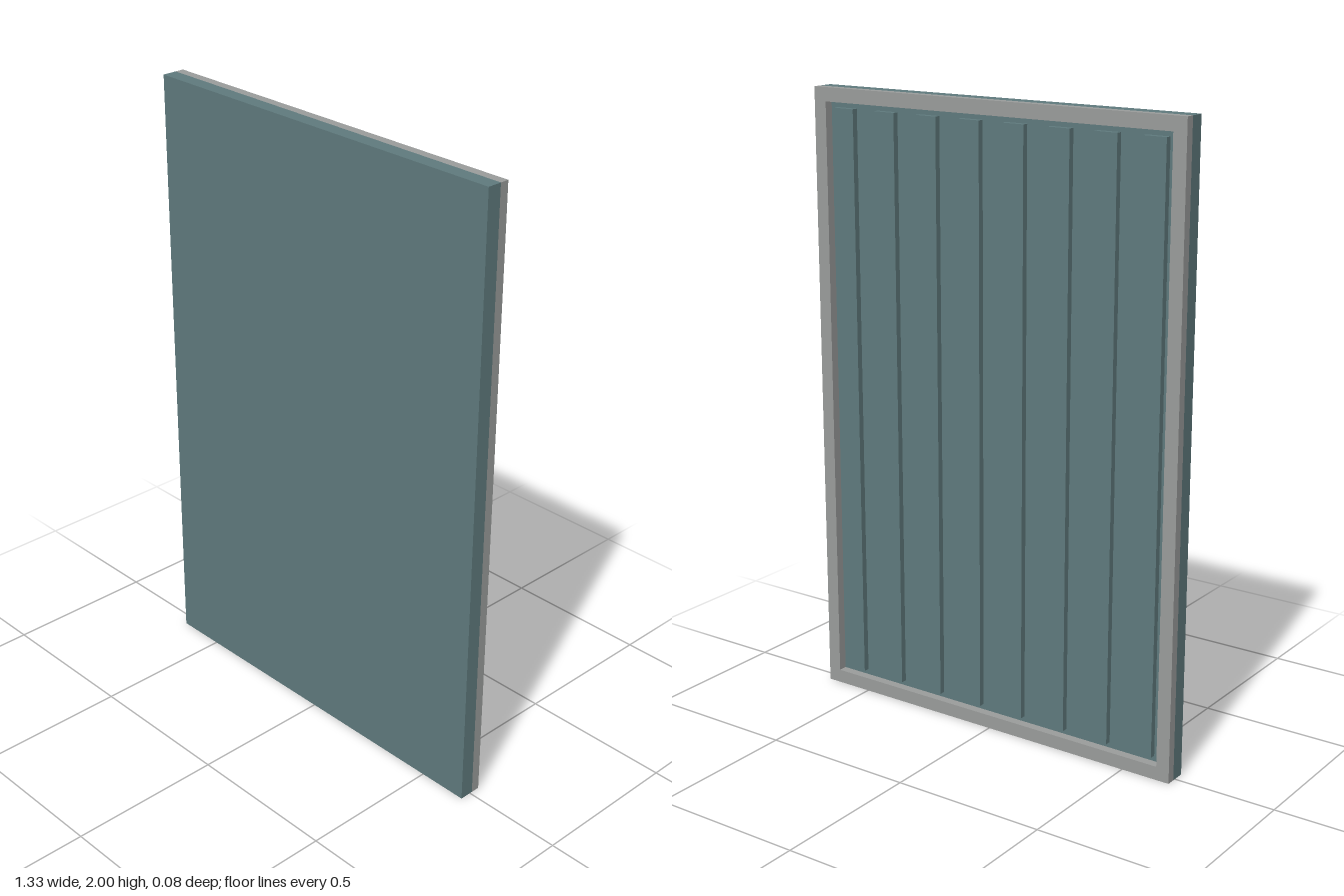
import * as THREE from 'three';

const W = 1.33, H = 2, BACK = -0.038, SEAM = -0.009, FRONT = 0.038;
const BORDER = 0.044;

export function createModel() {
  const model = new THREE.Group();
  model.name = 'ribbedPanel';
  const teal = new THREE.MeshStandardMaterial({ color: 0x5f7a7d });
  teal.name = 'teal';
  const gray = new THREE.MeshStandardMaterial({ color: 0x9a9c9b });
  gray.name = 'warm gray';

  const add = (name, geometry, material, x, y, z) => {
    const mesh = new THREE.Mesh(geometry, material);
    mesh.name = name;
    mesh.position.set(x, y, z);
    model.add(mesh);
  };

  // Flat front slab
  add('panel', new THREE.BoxGeometry(W, H, FRONT - SEAM), teal, 0, H / 2, (FRONT + SEAM) / 2);

  // Rectangular rim around the recessed back
  const outline = (w, h, Type) => new Type([
    new THREE.Vector2(-w / 2, -h / 2), new THREE.Vector2(w / 2, -h / 2),
    new THREE.Vector2(w / 2, h / 2), new THREE.Vector2(-w / 2, h / 2),
  ]);
  const rim = outline(W, H, THREE.Shape);
  rim.holes.push(outline(W - 2 * BORDER, H - 2 * BORDER, THREE.Path));
  const rimGeometry = new THREE.ExtrudeGeometry(rim, { depth: SEAM - BACK, bevelEnabled: false });
  add('backFrame', rimGeometry, gray, 0, H / 2, BACK);

  // Eight vertical stiffening ribs inside the recess
  const ribCount = 8, pitch = 0.1595, ribDepth = 0.02;
  const ribGeometry = new THREE.BoxGeometry(0.076, 1.875, ribDepth);
  for (let i = 0; i < ribCount; i++) {
    const x = (i - (ribCount - 1) / 2) * pitch;
    add(`rib${i + 1}`, ribGeometry, teal, x, H / 2, SEAM - ribDepth / 2);
  }
  return model;
}
